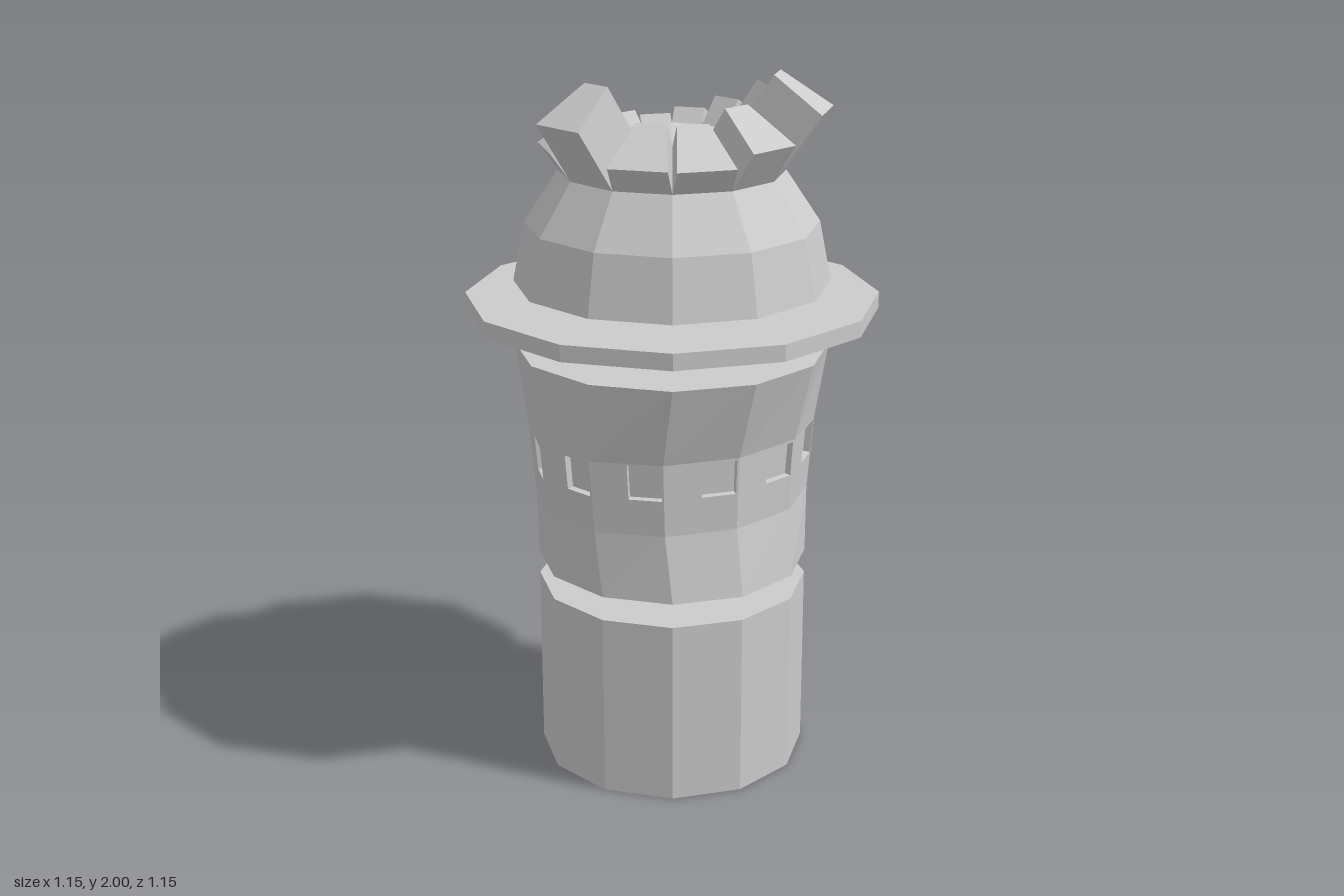
import * as THREE from 'three';

const SIDES = 12;
const material = new THREE.MeshStandardMaterial({ color: 0xcccccc, flatShading: true });

function mesh(name, geometry, y = 0) {
  const m = new THREE.Mesh(geometry, material);
  m.name = name;
  m.position.y = y;
  return m;
}

// Point on a ring; corner i counts from +x towards +z
function ringPoint(i, rx, rz, y) {
  const a = (i / SIDES) * Math.PI * 2;
  return new THREE.Vector3(Math.cos(a) * rx, y, Math.sin(a) * rz);
}

// Four corners of wall panel i between two rings, counter-clockwise from outside
function panel(i, [y0, rx0, rz0], [y1, rx1, rz1]) {
  return [ringPoint(i + 1, rx0, rz0, y0), ringPoint(i, rx0, rz0, y0),
    ringPoint(i, rx1, rz1, y1), ringPoint(i + 1, rx1, rz1, y1)];
}

function addQuad(tris, a, b, c, d) {
  tris.push(a, b, c, a, c, d);
}

// Join two four-cornered loops with a band of quads
function addBand(tris, from, to) {
  for (let j = 0; j < 4; j++) {
    const k = (j + 1) % 4;
    addQuad(tris, from[j], from[k], to[k], to[j]);
  }
}

// Push a quad along its normal: positive makes a block, negative a recess
function addExtrusion(tris, quad, depth) {
  const normal = new THREE.Vector3().subVectors(quad[2], quad[0])
    .cross(new THREE.Vector3().subVectors(quad[3], quad[1])).normalize();
  const moved = quad.map((p) => p.clone().addScaledVector(normal, depth));
  addBand(tris, quad, moved);
  addQuad(tris, ...moved);
}

function toGeometry(tris) {
  const g = new THREE.BufferGeometry().setFromPoints(tris);
  g.computeVertexNormals();
  return g;
}

// Point inside a panel: u runs right to left, v bottom to top
function inPanel(q, u, v) {
  const low = q[1].clone().lerp(q[0], u);
  return low.lerp(q[2].clone().lerp(q[3], u), v);
}

// Waisted upper tower with a recessed window in every middle panel
function upperTower() {
  const rings = [ // y, radius in x, radius in z
    [0.6, 0.385, 0.385], [0.79, 0.4, 0.352], [1.0, 0.42, 0.362], [1.23, 0.44, 0.44],
  ];
  const bottom = new THREE.Vector3(0, 0.6, 0);
  const top = new THREE.Vector3(0, 1.23, 0);
  const tris = [];
  for (let i = 0; i < SIDES; i++) {
    for (let r = 0; r < 3; r++) {
      const q = panel(i, rings[r], rings[r + 1]);
      if (r === 1) {
        const hole = [[0.49, 0.5], [0.03, 0.5], [0.03, 0.97], [0.49, 0.97]]
          .map(([u, v]) => inPanel(q, u, v));
        addBand(tris, q, hole);
        addExtrusion(tris, hole, -0.02);
      } else {
        addQuad(tris, ...q);
      }
      // End caps
      if (r === 0) tris.push(bottom, q[1], q[0]);
      if (r === 2) tris.push(top, q[3], q[2]);
    }
  }
  return mesh('upperTower', toGeometry(tris));
}

// Crown of blocks of uneven height standing on the dome's third band
function crownBlocks(radius, baseY) {
  const heights = [0.16, 0.22, 0.13, 0.08, 0.083, 0.205, 0.095, 0.055, 0.045, 0.03, 0.05, 0.09];
  const ring = (deg) => {
    const a = THREE.MathUtils.degToRad(deg);
    const r = radius * Math.cos(a);
    return [baseY + radius * Math.sin(a), r, r];
  };
  const crown = new THREE.Group();
  crown.name = 'crown';
  heights.forEach((h, i) => {
    const tris = [];
    addExtrusion(tris, panel(i, ring(45), ring(67.5)), h);
    crown.add(mesh('crownBlock', toGeometry(tris)));
  });
  return crown;
}

export function createModel() {
  const model = new THREE.Group();
  model.name = 'tower';

  // Base drum, upper tower and separate flange disc
  model.add(mesh('base', new THREE.CylinderGeometry(0.385, 0.385, 0.53, SIDES), 0.265));
  model.add(upperTower());
  model.add(mesh('flange', new THREE.CylinderGeometry(0.575, 0.575, 0.046, SIDES), 1.353));

  // Half-sphere dome with a flat underside
  const domeY = 1.41;
  const domeR = 0.44;
  model.add(mesh('dome',
    new THREE.SphereGeometry(domeR, SIDES, 4, 0, Math.PI * 2, 0, Math.PI / 2), domeY));
  const underside = mesh('domeUnderside', new THREE.CircleGeometry(domeR, SIDES), domeY);
  underside.rotation.x = Math.PI / 2;
  model.add(underside);

  model.add(crownBlocks(domeR, domeY));
  return model;
}
